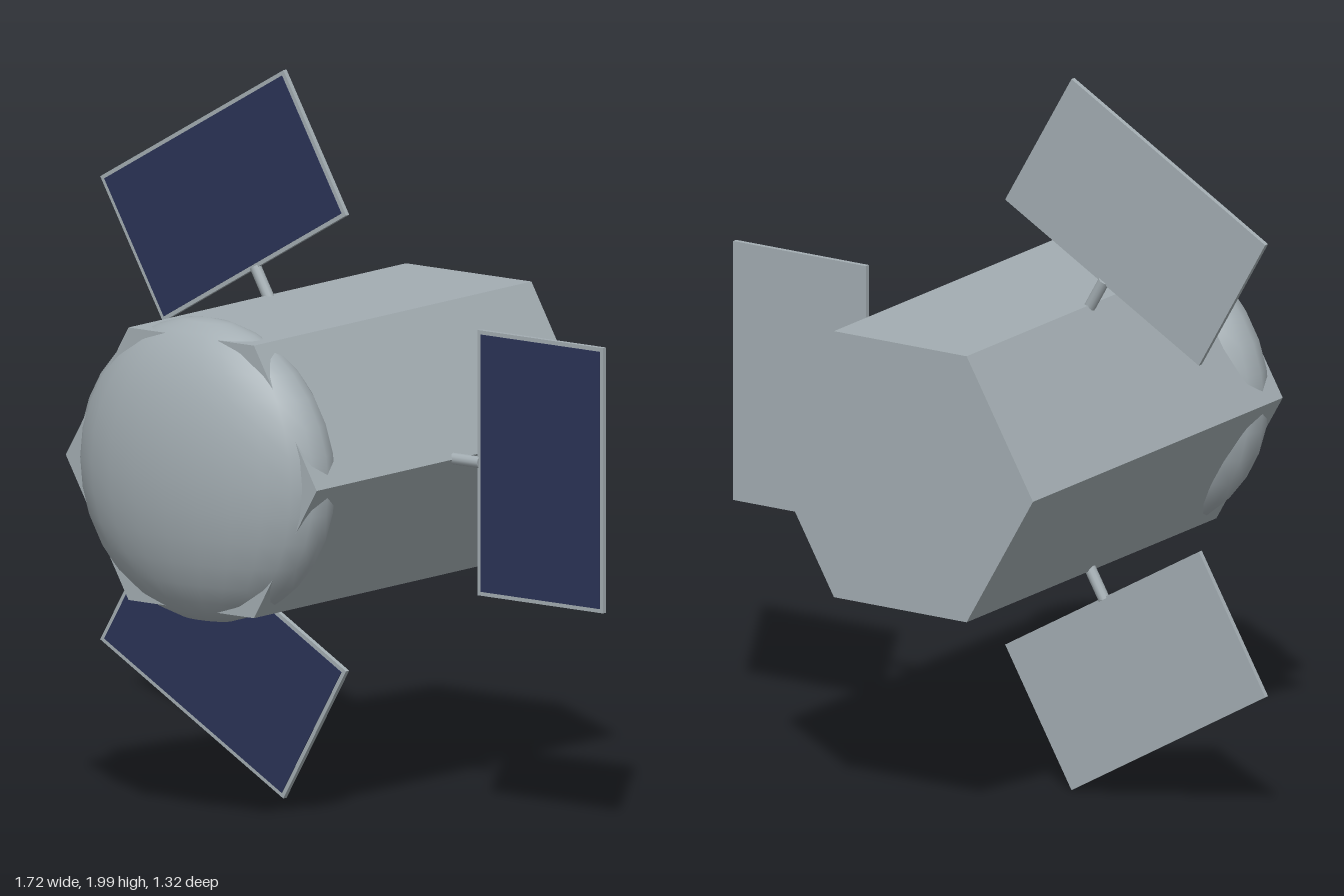
import * as THREE from 'three';

export function createModel() {
  const hull = new THREE.MeshStandardMaterial({ color: 0xa3adb2 });
  hull.name = 'hull grey';
  const cell = new THREE.MeshStandardMaterial({ color: 0x2b3357 });
  cell.name = 'solar cell blue';

  const model = new THREE.Group();
  model.name = 'satellite';
  // Body axis runs along z
  model.position.set(-0.08, 1, 0);

  const add = (parent, name, geometry, material, x = 0, y = 0, z = 0) => {
    const mesh = new THREE.Mesh(geometry, material);
    mesh.name = name;
    mesh.position.set(x, y, z);
    parent.add(mesh);
    return mesh;
  };

  // Hexagonal body with a corner pointing along +x, flat sided
  const prism = new THREE.CylinderGeometry(0.43, 0.43, 1.2, 6)
    .rotateY(Math.PI / 6).rotateX(Math.PI / 2).toNonIndexed();
  prism.computeVertexNormals();
  add(model, 'body', prism, hull, 0, 0, -0.06);

  // Flattened dome bulging through the front end
  const dome = new THREE.SphereGeometry(1, 24, 16).scale(0.415, 0.415, 0.186);
  add(model, 'frontDome', dome, hull, 0, 0, 0.47);

  // Three solar wings on alternate corners
  for (let i = 0; i < 3; i++) {
    const wing = new THREE.Group();
    wing.name = `solarWing${i + 1}`;
    wing.position.z = -0.062;
    wing.rotation.z = i * Math.PI * 2 / 3;
    model.add(wing);

    add(wing, 'arm', new THREE.CylinderGeometry(0.016, 0.016, 0.12, 12).rotateZ(Math.PI / 2), hull, 0.455);
    add(wing, 'panelFrame', new THREE.BoxGeometry(0.43, 0.725, 0.014), hull, 0.725);
    add(wing, 'solarCells', new THREE.BoxGeometry(0.408, 0.703, 0.003), cell, 0.725, 0, 0.0075);
  }

  const root = new THREE.Group();
  root.add(model);
  return root;
}
